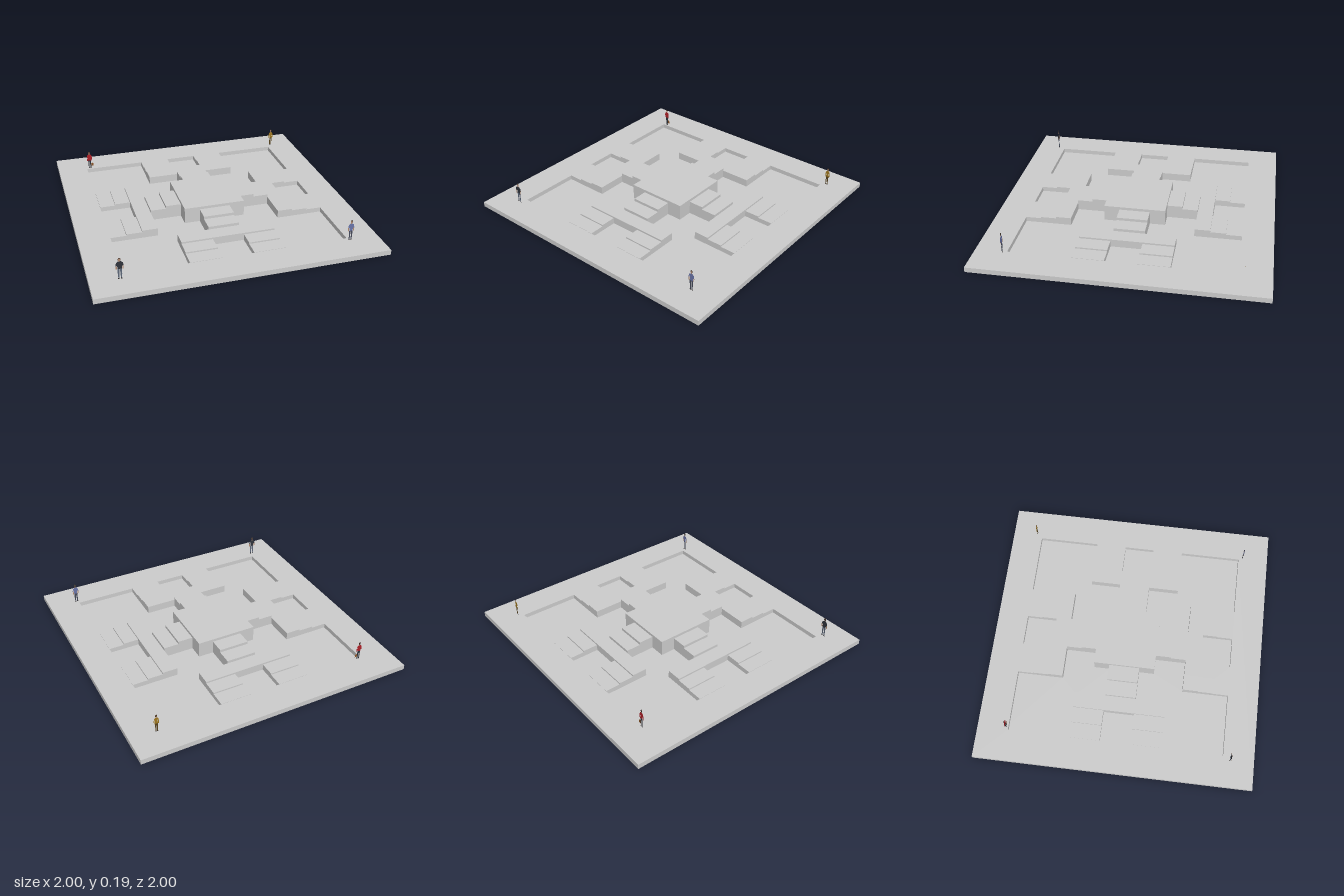
import * as THREE from 'three';

const U = 1 / 9;              // plan module
const FLOOR = 0.004, RIM = 0.036;
const TREADS = [0.12, 0.12, 0.10, 0.08, 0.06, 0.048, 0.038]; // tread height per ring

const stone = new THREE.MeshStandardMaterial({ color: 0xcccccc, flatShading: true, side: THREE.DoubleSide });

function add(parent, name, geometry, material = stone) {
  const mesh = new THREE.Mesh(geometry, material);
  mesh.name = name;
  parent.add(mesh);
  return mesh;
}

// Flat slab lying on the ground plane, with one opening
function slab(opening, y0, y1) {
  const shape = new THREE.Shape([[-1, -1], [1, -1], [1, 1], [-1, 1]].map(p => new THREE.Vector2(...p)));
  shape.holes.push(new THREE.Path(opening.map(([x, y]) => new THREE.Vector2(x * U, y * U))));
  const geo = new THREE.ExtrudeGeometry(shape, { depth: y1 - y0, bevelEnabled: false });
  return geo.rotateX(-Math.PI / 2).translate(0, y0, 0);
}

// Outline of the raised cross, one arm turned four times
function crossOutline() {
  const arm = [[2, -1], [4, -1], [4, -3], [7, -3], [7, -1], [5, -1], [5, 1],
    [7, 1], [7, 3], [4, 3], [4, 1], [2, 1], [2, 2]];
  const points = [];
  for (let k = 0; k < 4; k++) {
    for (let [x, y] of arm) {
      for (let r = 0; r < k; r++) [x, y] = [-y, x];
      points.push([x, y]);
    }
  }
  return points;
}

// Which part a plan cell belongs to
const ring = i => (i < 0 ? -i - 1 : i);
function partAt(i, j) {
  const a = ring(i), b = ring(j), m = Math.max(a, b), n = Math.min(a, b);
  if (m <= 1) return 'centralPlatform';
  if (m <= 3 && n === 0) return 'walkway';
  if (m >= 4 && m <= 6 && n <= 2 && !(n === 0 && m >= 5)) return 'terrace';
  return null;
}
const heightAt = (i, j) => (partAt(i, j) ? TREADS[Math.max(ring(i), ring(j))] : 0);

// Hollow stepped shell: a tread on each cell, and a riser wherever the neighbour is lower
function steppedShell(inPart) {
  const pos = [];
  const quad = (a, b, c, d) => pos.push(...a, ...b, ...c, ...a, ...c, ...d);
  for (let i = -7; i < 7; i++) for (let j = -7; j < 7; j++) {
    if (!inPart(i, j)) continue;
    const h = heightAt(i, j), x0 = i * U, x1 = x0 + U, z0 = j * U, z1 = z0 + U;
    quad([x0, h, z0], [x0, h, z1], [x1, h, z1], [x1, h, z0]);
    const sides = [[0, 1, x0, z1, x1, z1], [1, 0, x1, z1, x1, z0], [0, -1, x1, z0, x0, z0], [-1, 0, x0, z0, x0, z1]];
    for (const [di, dj, ax, az, bx, bz] of sides) {
      const low = heightAt(i + di, j + dj);
      if (low < h) quad([ax, low, az], [bx, low, bz], [bx, h, bz], [ax, h, az]);
    }
  }
  const geo = new THREE.BufferGeometry();
  geo.setAttribute('position', new THREE.Float32BufferAttribute(pos, 3));
  geo.computeVertexNormals();
  return geo;
}

// Flat cut-out of a standing person, one unit tall before scaling
function person(name, { x, z, height, width, shirt, legs, hair, sleeve, bag }) {
  const figure = new THREE.Group();
  figure.name = name;
  const paint = color => new THREE.MeshStandardMaterial({ color, side: THREE.DoubleSide });
  const skin = 0xb08870;
  const flat = (part, points, color, depth = 0) => add(figure, part,
    new THREE.ShapeGeometry(new THREE.Shape(points.map(p => new THREE.Vector2(...p)))).translate(0, 0, depth), paint(color));
  const disc = (part, r, sy, y, color, depth) =>
    add(figure, part, new THREE.CircleGeometry(r, 16).scale(1, sy, 1).translate(0, y, depth), paint(color));

  disc('hair', 0.068, 1.15, 0.922, hair, 0);
  disc('face', 0.05, 1.25, 0.9, skin, 0.004);
  flat('neck', [[-0.03, 0.8], [0.03, 0.8], [0.03, 0.87], [-0.03, 0.87]], skin);
  flat('torso', [[-0.1, 0.47], [0.1, 0.47], [0.105, 0.68], [0.15, 0.77], [0.06, 0.83],
    [-0.06, 0.83], [-0.15, 0.77], [-0.105, 0.68]], shirt);
  for (const s of [-1, 1]) {
    flat('upperArm', [[0.1, 0.79], [0.15, 0.77], [0.19, 0.62], [0.12, 0.62]].map(([a, b]) => [a * s, b]), shirt);
    flat('forearm', [[0.125, 0.62], [0.188, 0.62], [0.175, 0.46], [0.125, 0.46]].map(([a, b]) => [a * s, b]), sleeve ?? skin);
    flat('leg', [[0, 0.48], [0.105, 0.48], [0.1, 0.25], [0.085, 0.04], [0.03, 0.04], [0.025, 0.25]].map(([a, b]) => [a * s, b]), legs);
    flat('shoe', [[0.025, 0], [0.11, 0], [0.09, 0.05], [0.03, 0.05]].map(([a, b]) => [a * s, b]), 0x2a2624);
  }
  if (bag) flat('bag', [[0.1, 0.14], [0.25, 0.14], [0.26, 0.27], [0.17, 0.33], [0.1, 0.27]], bag, 0.004);
  figure.scale.set(width / 0.38, height, height);
  figure.position.set(x, RIM, z);
  return figure;
}

export function createModel() {
  const model = new THREE.Group();
  model.name = 'sunkenPlaza';

  // Ground slab and the raised border around the sunken court
  add(model, 'courtFloor', slab(crossOutline(), 0, FLOOR));
  add(model, 'border', slab([[-7, -7], [7, -7], [7, 7], [-7, 7]], FLOOR, RIM));

  // Stepped cross rising to the centre
  add(model, 'centralPlatform', steppedShell((i, j) => partAt(i, j) === 'centralPlatform'));
  const directions = {
    front: (i, j) => j >= 2 && ring(j) > ring(i), back: (i, j) => j < -2 && ring(j) > ring(i),
    left: (i, j) => i >= 2 && ring(i) > ring(j), right: (i, j) => i < -2 && ring(i) > ring(j),
  };
  for (const [side, test] of Object.entries(directions)) {
    for (const part of ['walkway', 'terrace']) {
      add(model, `${side}${part[0].toUpperCase()}${part.slice(1)}`,
        steppedShell((i, j) => test(i, j) && partAt(i, j) === part));
    }
  }

  // Flat scale figures on the border corners
  model.add(
    person('manInDarkShirt', { x: -0.8, z: 0.827, height: 0.156, width: 0.054, shirt: 0x30343c, legs: 0x5c6678, hair: 0x4a3c36 }),
    person('womanInRed', { x: -0.752, z: -0.79, height: 0.146, width: 0.042, shirt: 0xb02028, legs: 0x2c3038, hair: 0x3a2420, sleeve: 0xa02028, bag: 0x8a5428 }),
    person('manInBlueShirt', { x: 0.79, z: 0.806, height: 0.156, width: 0.046, shirt: 0x6a74a8, legs: 0x444858, hair: 0x4a4038 }),
    person('womanInOchre', { x: 0.812, z: -0.815, height: 0.142, width: 0.036, shirt: 0xa07820, legs: 0x54401c, hair: 0x4a3420, sleeve: 0x94701c }),
  );
  return model;
}
